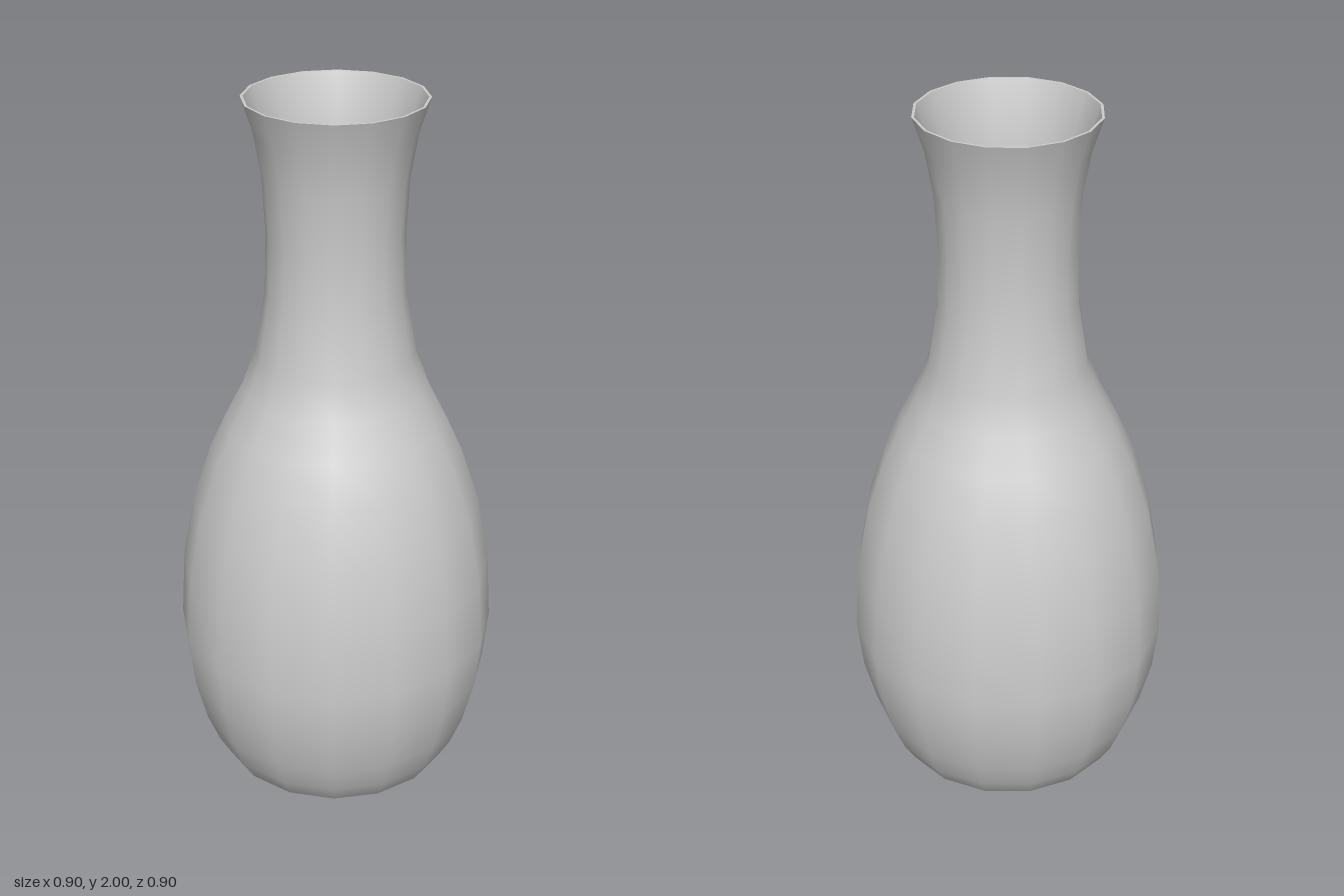
import * as THREE from 'three';

const SIDES = 16;
const WALL = 0.007;

// Outer profile [radius, height], from foot to lip
const OUTER = [
  [0.31, 0.012], [0.333, 0.03], [0.367, 0.09], [0.402, 0.18], [0.434, 0.31], [0.449, 0.455],
  [0.437, 0.655], [0.402, 0.84], [0.35, 1.0], [0.305, 1.1], [0.255, 1.2], [0.217, 1.3],
  [0.189, 1.48], [0.184, 1.635], [0.192, 1.79], [0.213, 1.91], [0.242, 2.0],
];

function lathe(name, points, flatShading = false) {
  const geometry = new THREE.LatheGeometry(points.map(([r, y]) => new THREE.Vector2(r, y)), SIDES);
  const material = new THREE.MeshStandardMaterial({ color: 0xcccccc, flatShading });
  const mesh = new THREE.Mesh(geometry, material);
  mesh.name = name;
  return mesh;
}

export function createModel() {
  const group = new THREE.Group();
  group.name = 'vase';

  // Inner wall follows the outer one and runs from lip down to the floor
  const inner = OUTER.slice(3).map(([r, y]) => [r - WALL, y]).reverse();
  const lip = OUTER[OUTER.length - 1];
  const foot = OUTER[0];

  group.add(
    lathe('outerWall', OUTER),
    lathe('lip', [lip, inner[0]]),
    lathe('innerWall', inner),
    // Dished, faceted floor inside
    lathe('innerFloor', [inner[inner.length - 1], [0, 0.02]], true),
    // Slightly convex underside
    lathe('underside', [[0, 0], foot]),
  );
  return group;
}
